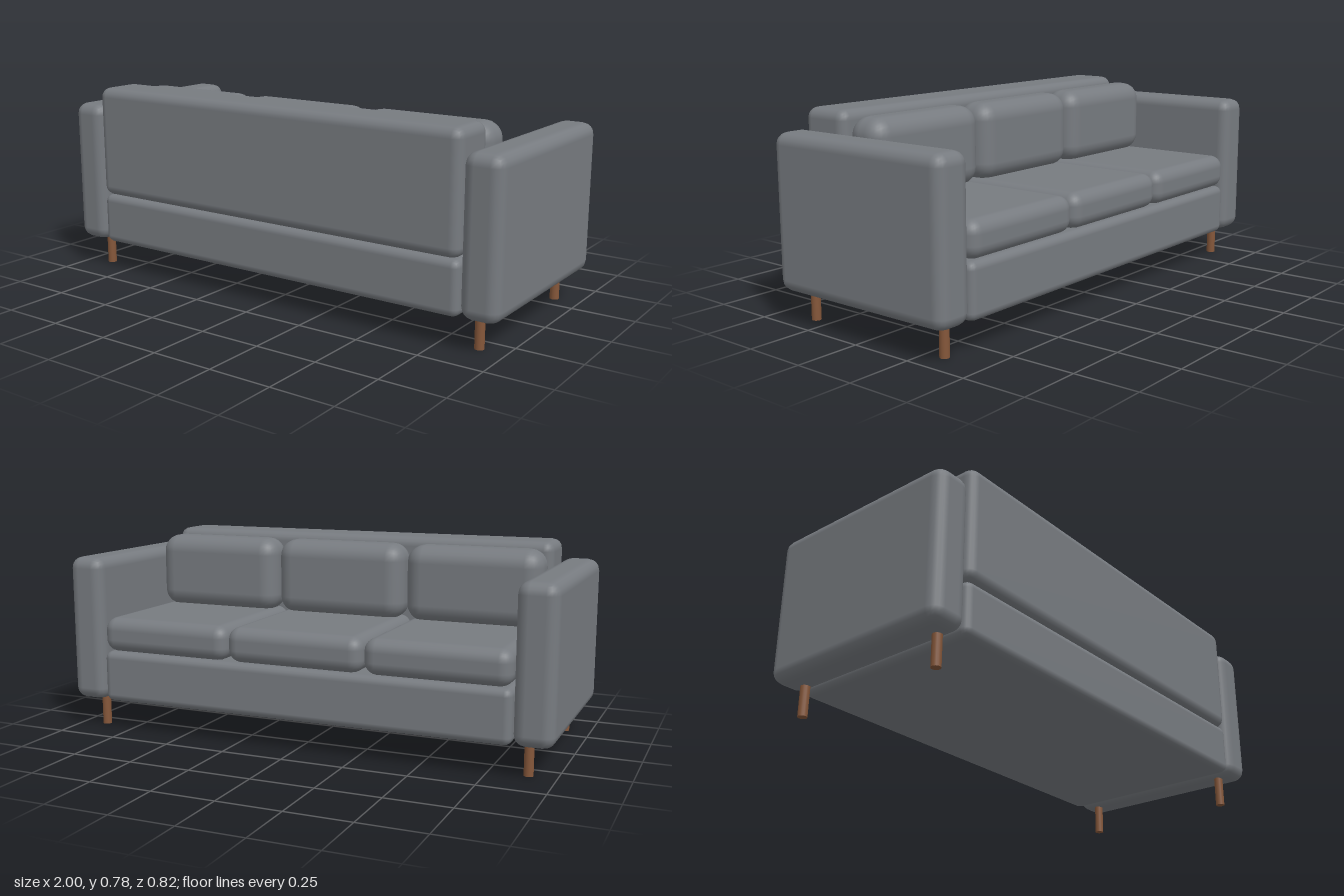
import * as THREE from 'three';
import { RoundedBoxGeometry } from 'three/addons/geometries/RoundedBoxGeometry.js';

export function createModel() {
  const sofa = new THREE.Group();
  sofa.name = 'sofa';
  const fabric = new THREE.MeshStandardMaterial({ color: 0x777b80 });
  const wood = new THREE.MeshStandardMaterial({ color: 0x85573a });

  // Upholstered block given by its extents on each axis
  function block(name, [x0, x1], [y0, y1], [z0, z1], radius, segments = 2) {
    const geometry = new RoundedBoxGeometry(x1 - x0, y1 - y0, z1 - z0, segments, radius);
    const mesh = new THREE.Mesh(geometry, fabric);
    mesh.name = name;
    mesh.position.set((x0 + x1) / 2, (y0 + y1) / 2, (z0 + z1) / 2);
    sofa.add(mesh);
  }

  // Base and backrest; the backrest stands on the +z side
  block('base', [-0.847, 0.847], [0.118, 0.326], [-0.405, 0.405], 0.03);
  block('backrest', [-0.847, 0.847], [0.326, 0.782], [0.202, 0.41], 0.04);

  // Armrests
  block('leftArmrest', [0.848, 1], [0.118, 0.706], [-0.41, 0.41], 0.046);
  block('rightArmrest', [-1, -0.848], [0.118, 0.706], [-0.41, 0.41], 0.046);

  // Three seat cushions, each with a back cushion resting on it
  const pitch = 0.5645;
  for (let i = -1; i <= 1; i++) {
    const span = [i * pitch - 0.281, i * pitch + 0.281];
    block('seatCushion', span, [0.326, 0.465], [-0.41, 0.202], 0.05, 3);
    block('backCushion', [span[0] + 0.004, span[1] - 0.004], [0.455, 0.763], [0.03, 0.2], 0.07, 3);
  }

  // Round wooden legs under the armrests
  const legGeometry = new THREE.CylinderGeometry(0.018, 0.018, 0.13, 16);
  for (const x of [-0.897, 0.897]) {
    for (const z of [-0.324, 0.324]) {
      const leg = new THREE.Mesh(legGeometry, wood);
      leg.name = 'leg';
      leg.position.set(x, 0.065, z);
      sofa.add(leg);
    }
  }
  return sofa;
}
